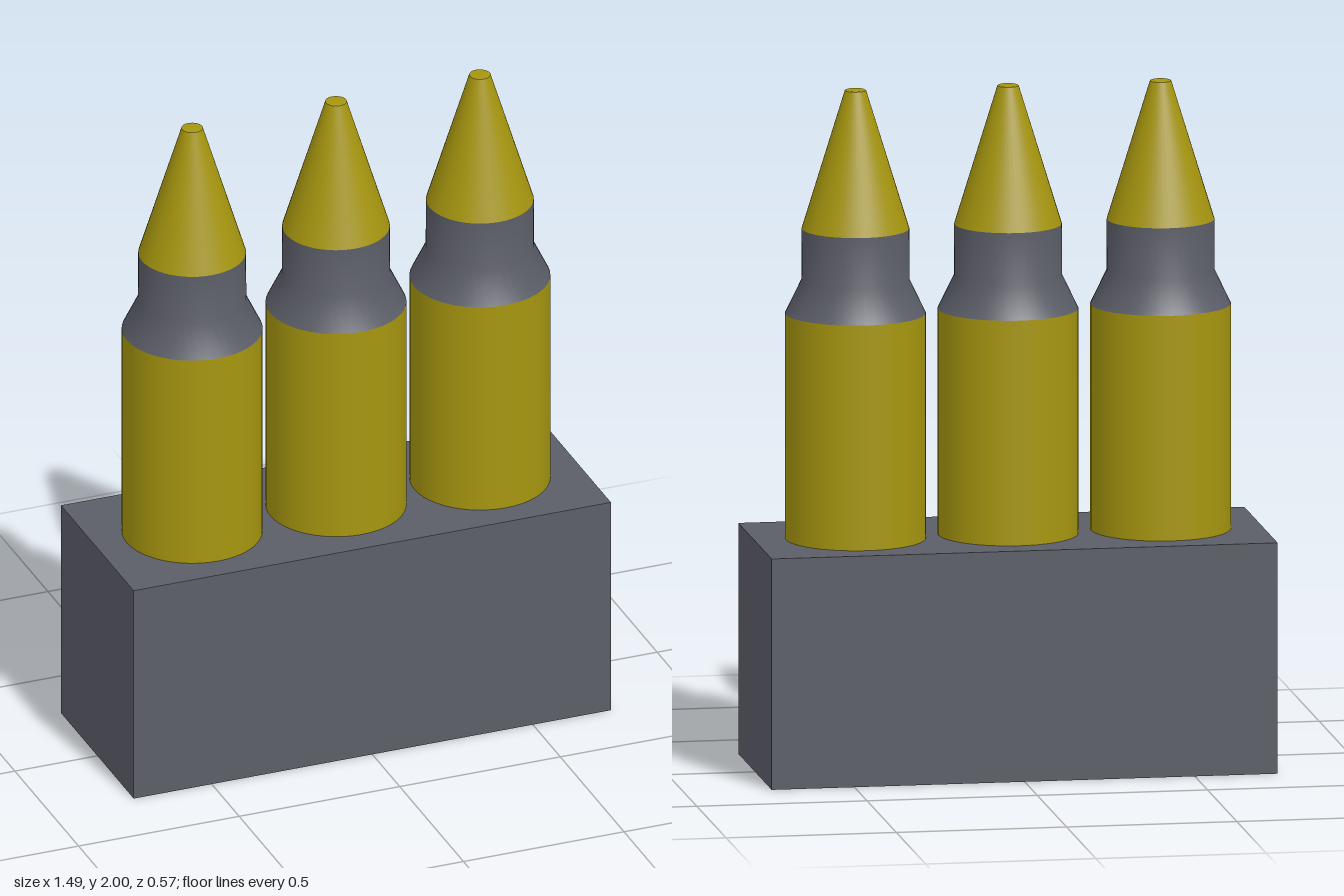
import * as THREE from 'three';

const brass = new THREE.MeshStandardMaterial({ color: 0xa6960f });
const steel = new THREE.MeshStandardMaterial({ color: 0x5c5e68 });

// Solid of revolution from [radius, height] pairs, listed bottom to top
function turned(name, profile, material) {
  const points = profile.map(([r, y]) => new THREE.Vector2(r, y));
  const mesh = new THREE.Mesh(new THREE.LatheGeometry(points, 48), material);
  mesh.name = name;
  return mesh;
}

function createCartridge() {
  const cartridge = new THREE.Group();
  cartridge.name = 'cartridge';

  // Straight case standing on the block
  cartridge.add(turned('case', [[0.204, 0.68], [0.204, 1.343]], brass));

  // Sloping shoulder and neck
  cartridge.add(turned('neck', [[0.204, 1.343], [0.157, 1.44], [0.156, 1.592]], steel));

  // Conical tip with a small flat end
  cartridge.add(turned('tip', [[0.156, 1.592], [0.031, 1.998]], brass));
  cartridge.add(turned('tipEnd', [[0.031, 1.998], [0.027, 2], [0, 2]], brass));
  return cartridge;
}

export function createModel() {
  const model = new THREE.Group();
  model.name = 'cartridgeBlock';

  // Rectangular holder
  const block = new THREE.Mesh(new THREE.BoxGeometry(1.486, 0.68, 0.57), steel);
  block.name = 'block';
  block.position.y = 0.34;
  model.add(block);

  // Row of three cartridges
  for (const x of [-0.448, 0, 0.448]) {
    const cartridge = createCartridge();
    cartridge.position.x = x;
    model.add(cartridge);
  }
  return model;
}
